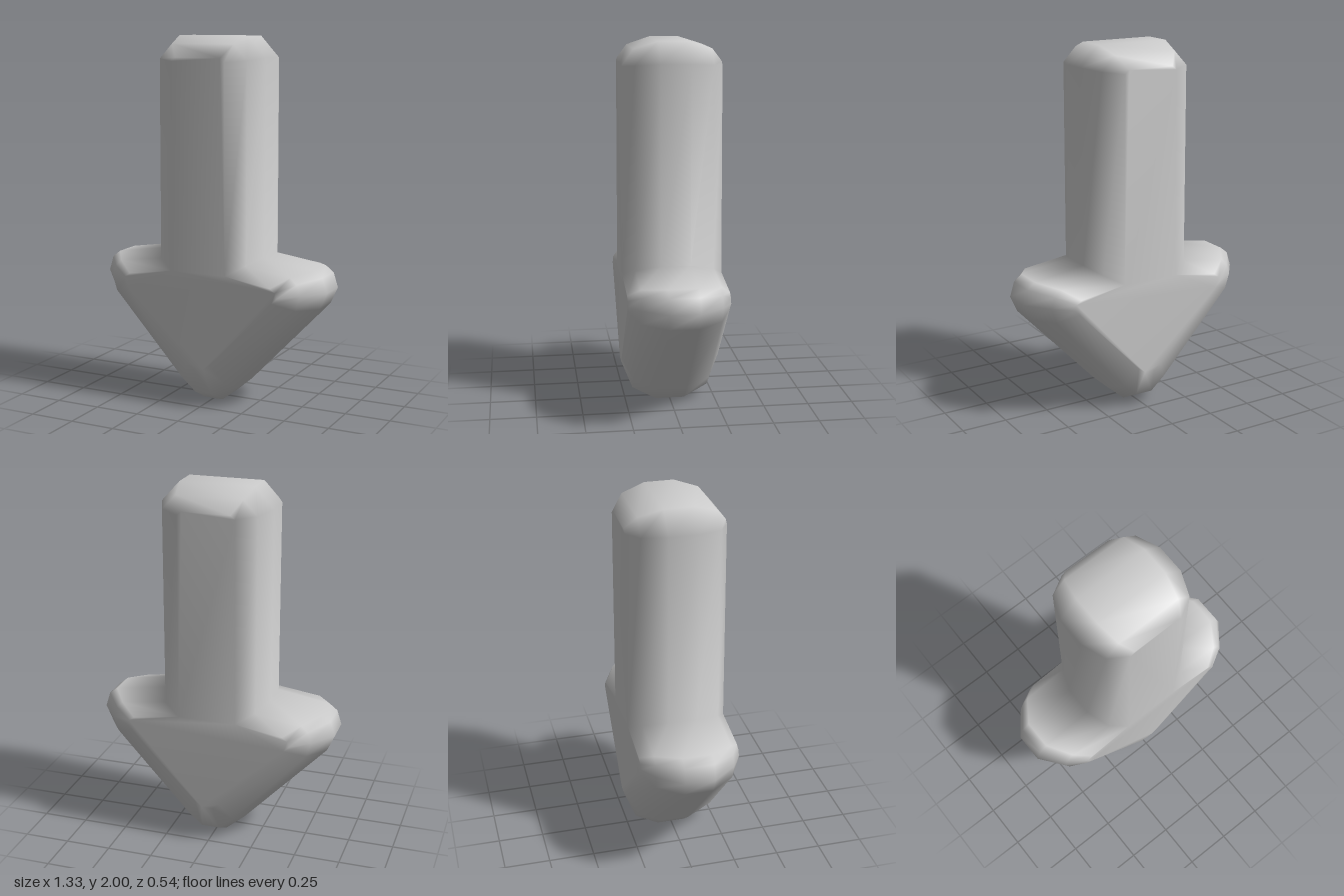
import * as THREE from 'three';

// Right half of the arrow outline at each depth, from the tip up to the shaft end.
const LAYERS = [
  { z: 0.27, half: [[0.03, 0.22], [0.07, 0.25], [0.43, 0.63], [0.46, 0.66], [0.45, 0.69], [0.42, 0.71], [0.16, 0.75], [0.155, 1.87], [0.13, 1.89]] },
  { z: 0.21, half: [[0.05, 0.07], [0.13, 0.14], [0.54, 0.59], [0.565, 0.67], [0.545, 0.73], [0.51, 0.765], [0.255, 0.8], [0.255, 1.88], [0.18, 1.96]] },
  { z: 0.08, half: [[0.055, 0], [0.16, 0.09], [0.625, 0.58], [0.665, 0.67], [0.64, 0.75], [0.595, 0.785], [0.305, 0.83], [0.305, 1.89], [0.205, 2]] },
];

// Full counter-clockwise outline from a right half
function outline(half) {
  const left = half.map(([x, y]) => [-x, y]).reverse();
  return [...half, ...left];
}

function arrowGeometry() {
  const rings = [
    ...LAYERS.map((l) => ({ z: l.z, pts: outline(l.half) })),
    ...[...LAYERS].reverse().map((l) => ({ z: -l.z, pts: outline(l.half) })),
  ];
  const n = rings[0].pts.length;
  const positions = [];
  const index = [];
  for (const { z, pts } of rings) {
    // the shaft is very slightly thinner than the head
    for (const [x, y] of pts) positions.push(x, y, y > 1 ? z * 0.985 : z);
  }

  // Rounded rim between neighbouring outlines
  for (let r = 0; r < rings.length - 1; r++) {
    for (let i = 0; i < n; i++) {
      const j = (i + 1) % n;
      const a = r * n + i, b = r * n + j;
      index.push(a, a + n, b + n, a, b + n, b);
    }
  }

  // Flat front and back faces
  const contour = rings[0].pts.map(([x, y]) => new THREE.Vector2(x, y));
  const back = (rings.length - 1) * n;
  for (const [a, b, c] of THREE.ShapeUtils.triangulateShape(contour, [])) {
    index.push(a, b, c, back + a, back + c, back + b);
  }

  const geometry = new THREE.BufferGeometry();
  geometry.setAttribute('position', new THREE.Float32BufferAttribute(positions, 3));
  geometry.setIndex(index);
  geometry.computeVertexNormals();
  return geometry;
}

export function createModel() {
  const group = new THREE.Group();
  group.name = 'downArrow';
  const arrow = new THREE.Mesh(arrowGeometry(), new THREE.MeshStandardMaterial({ color: 0xcccccc }));
  arrow.name = 'arrowBody';
  group.add(arrow);
  return group;
}
